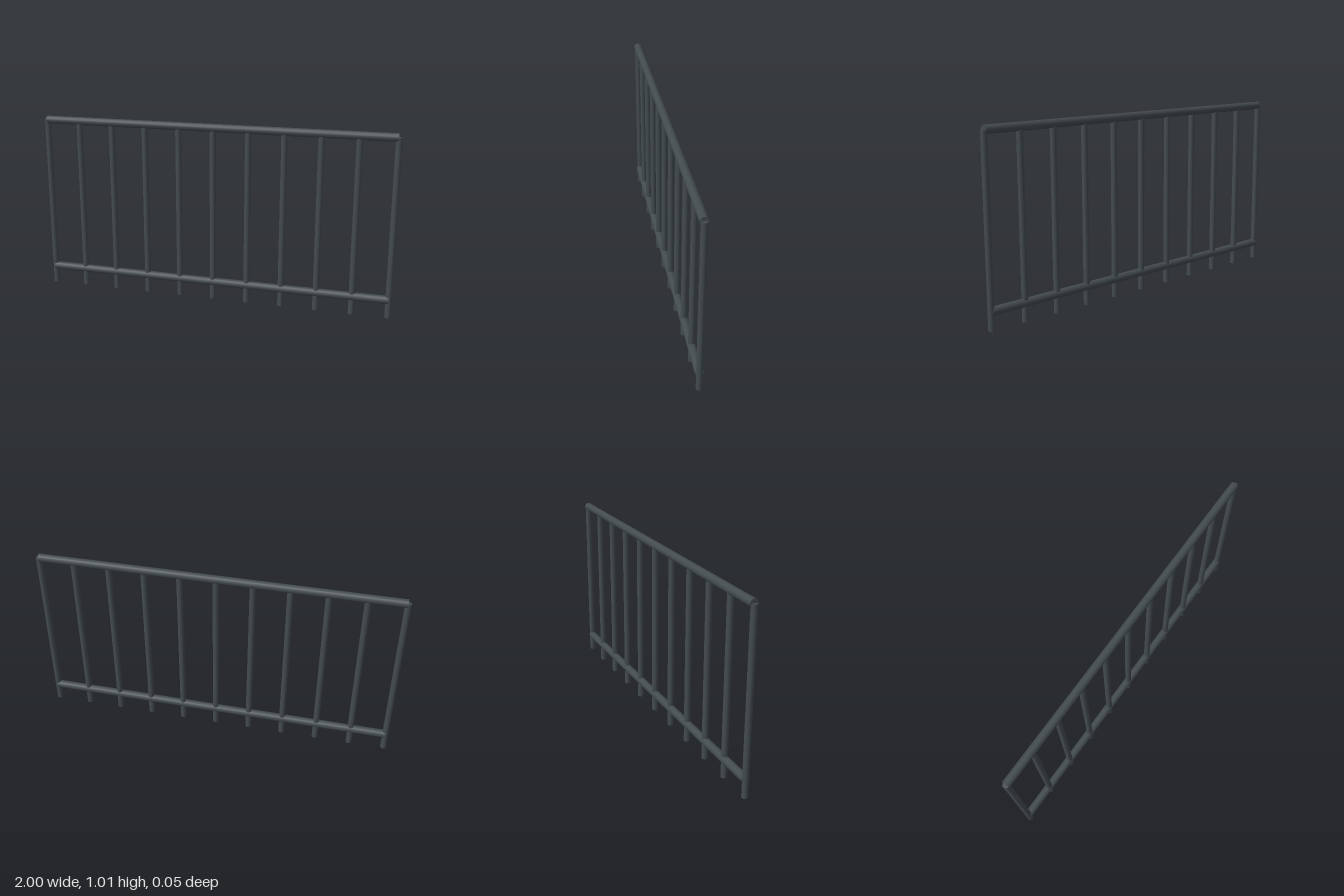
import * as THREE from 'three';

export function createModel() {
  const group = new THREE.Group();
  group.name = 'railing';

  const metal = new THREE.MeshStandardMaterial({ color: 0x434b4f });
  metal.name = 'dark slate metal';

  const halfSpan = 0.983, postHeight = 0.984, postCount = 11;

  // Evenly spaced upright bars, standing on the ground
  const postGeometry = new THREE.CylinderGeometry(0.017, 0.017, postHeight, 16);
  for (let i = 0; i < postCount; i++) {
    const post = new THREE.Mesh(postGeometry, metal);
    post.name = `post${i + 1}`;
    post.position.set(-halfSpan + (2 * halfSpan * i) / (postCount - 1), postHeight / 2, 0);
    group.add(post);
  }

  // Horizontal rails, ending on the centre lines of the outer posts
  const railGeometry = new THREE.CylinderGeometry(0.0225, 0.0225, 2 * halfSpan, 16).rotateZ(Math.PI / 2);
  for (const [name, y] of [['handrail', 0.984], ['bottomRail', 0.1]]) {
    const rail = new THREE.Mesh(railGeometry, metal);
    rail.name = name;
    rail.position.y = y;
    group.add(rail);
  }

  return group;
}
